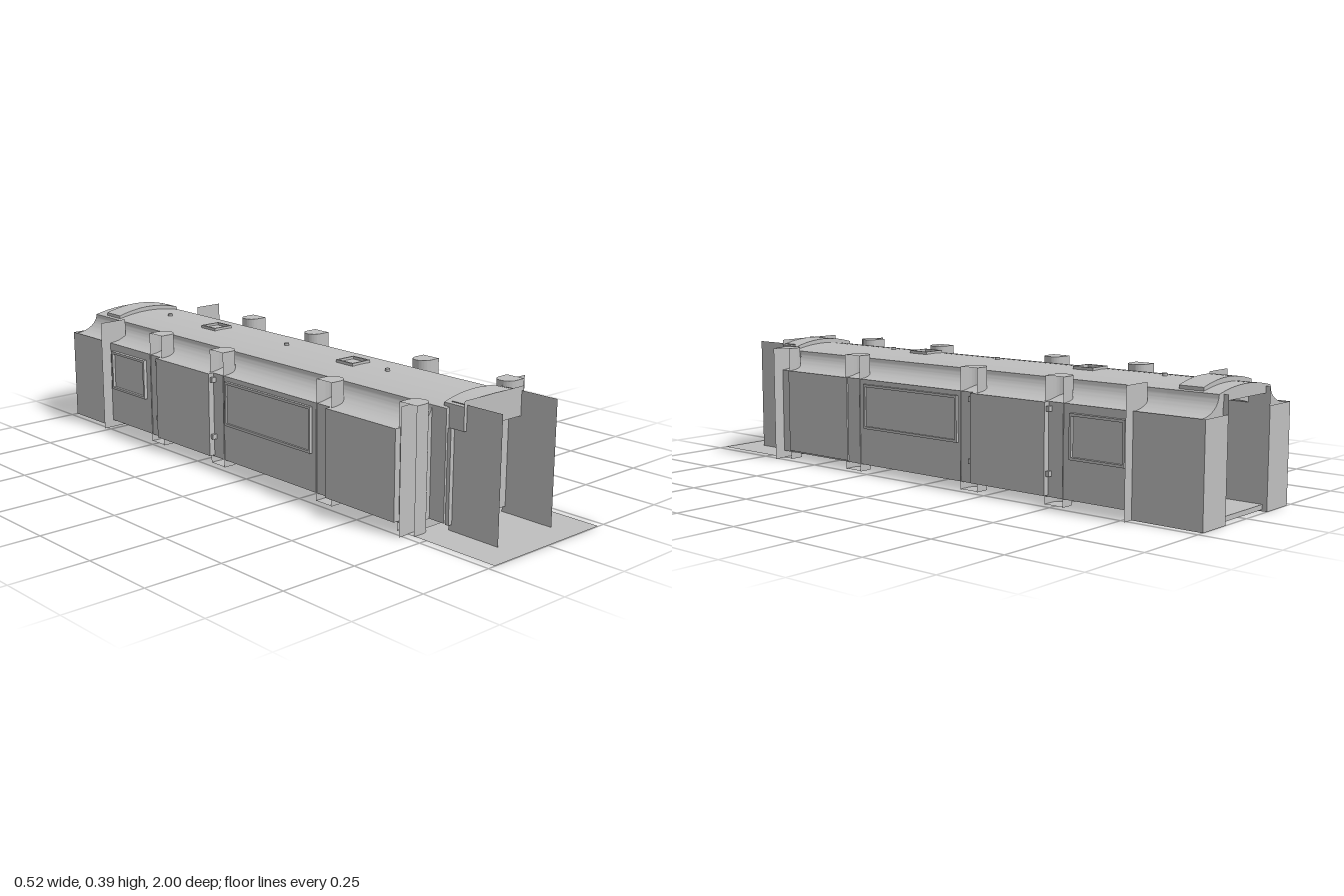
import * as THREE from 'three';
import { toCreasedNormals } from 'three/addons/utils/BufferGeometryUtils.js';

export function createModel() {
  const root = new THREE.Group();
  root.name = 'carModule';
  const grey = new THREE.MeshStandardMaterial({ color: 0xbfbfbf, side: THREE.DoubleSide });
  grey.name = 'plainGrey';

  function add(name, geo, x = 0, y = 0, z = 0) {
    const m = new THREE.Mesh(geo, grey);
    m.name = name;
    m.position.set(x, y, z);
    root.add(m);
    return m;
  }
  // box given by its limits on each axis
  function box(name, x0, x1, y0, y1, z0, z1) {
    return add(name, new THREE.BoxGeometry(Math.abs(x1 - x0), y1 - y0, z1 - z0),
      (x0 + x1) / 2, (y0 + y1) / 2, (z0 + z1) / 2);
  }
  // flat sheets: sheetX lies across x, sheetZ faces along z
  function sheetX(name, x, y0, y1, z0, z1) {
    const m = add(name, new THREE.PlaneGeometry(z1 - z0, y1 - y0), x, (y0 + y1) / 2, (z0 + z1) / 2);
    m.rotation.y = Math.sign(x) * Math.PI / 2;
  }
  function sheetZ(name, x0, x1, y0, y1, z) {
    const m = add(name, new THREE.PlaneGeometry(Math.abs(x1 - x0), y1 - y0), (x0 + x1) / 2, (y0 + y1) / 2, z);
    if (z < 0) m.rotation.y = Math.PI;
  }
  function extrude(name, shape, z0, z1) {
    const g = new THREE.ExtrudeGeometry(shape, { depth: z1 - z0, bevelEnabled: false, curveSegments: 14 });
    return add(name, toCreasedNormals(g, 0.5), 0, 0, z0);
  }

  // body cross-section: upright walls, concave coves, shallow roof arch
  function bodyShape(base) {
    const s = new THREE.Shape();
    s.moveTo(-0.225, base);
    s.lineTo(0.225, base);
    s.lineTo(0.225, 0.305);
    s.absellipse(0.225, 0.362, 0.088, 0.057, -Math.PI / 2, -Math.PI, true);
    s.quadraticCurveTo(0, 0.395, -0.137, 0.362);
    s.absellipse(-0.225, 0.362, 0.088, 0.057, 0, -Math.PI / 2, true);
    s.lineTo(-0.225, base);
    return s;
  }
  extrude('body', bodyShape(0.025), -0.82, 0.68);

  // rear vestibule: the same section with a doorway through it
  const rear = bodyShape(0.005);
  const hole = new THREE.Path();
  hole.moveTo(-0.115, 0.02);
  hole.lineTo(-0.115, 0.34);
  hole.lineTo(0.115, 0.34);
  hole.lineTo(0.115, 0.02);
  hole.closePath();
  rear.holes.push(hole);
  extrude('rearVestibule', rear, -0.985, -0.82);

  // front roof nose over the door
  const nose = new THREE.Shape();
  nose.moveTo(-0.137, 0.025);
  nose.lineTo(0.137, 0.025);
  nose.lineTo(0.137, 0.362);
  nose.quadraticCurveTo(0, 0.395, -0.137, 0.362);
  extrude('frontNose', nose, 0.68, 0.735);

  // end doors and the hoods above them
  box('frontDoor', -0.13, 0.125, 0.02, 0.305, 0.735, 0.747);
  box('rearDoor', -0.113, 0.113, 0.02, 0.34, -0.82, -0.81);
  function hood(name, z0, z1) {
    const s = new THREE.Shape();
    s.moveTo(-0.126, 0.305);
    s.quadraticCurveTo(0, 0.345, 0.126, 0.305);
    s.lineTo(0.126, 0.375);
    s.quadraticCurveTo(0, 0.411, -0.126, 0.375);
    s.closePath();
    extrude(name, s, z0, z1);
  }
  hood('frontHood', 0.715, 0.79);
  hood('rearHood', -0.93, -0.85);
  sheetZ('frontHoodFace', -0.127, 0.125, 0.305, 0.393, 0.791);

  // entry floor
  const floor = add('entryFloor', new THREE.PlaneGeometry(0.45, 0.32), 0, 0.001, 0.84);
  floor.rotation.x = -Math.PI / 2;

  // pillar: round towards the middle, open outwards
  const pillarShape = new THREE.Shape();
  pillarShape.moveTo(0.228, -0.033);
  pillarShape.lineTo(0.193, -0.033);
  pillarShape.absarc(0.193, 0, 0.033, -Math.PI / 2, -Math.PI * 1.5, true);
  pillarShape.lineTo(0.228, 0.033);
  const outline = pillarShape.getPoints(12);
  function pillar(side, z) {
    const pos = [], idx = [];
    outline.forEach((p, i) => {
      pos.push(p.x * side, 0, p.y, p.x * side, 0.38, p.y);
      if (i) idx.push(2 * i - 2, 2 * i - 1, 2 * i, 2 * i, 2 * i - 1, 2 * i + 1);
    });
    if (side < 0) idx.reverse();
    const wall = new THREE.BufferGeometry();
    wall.setAttribute('position', new THREE.Float32BufferAttribute(pos, 3));
    wall.setIndex(idx);
    add('pillarWall', toCreasedNormals(wall, 0.6), 0, 0, z);
    for (const y of [0.002, 0.38]) {
      const cap = add('pillarCap', new THREE.ShapeGeometry(pillarShape, 12), 0, y, z);
      cap.rotation.x = y > 0.1 ? -Math.PI / 2 : Math.PI / 2;
      cap.scale.x = side;
    }
  }

  // raised window frame with a thin pane
  function windowPanel(side, z0, z1, y0, y1, out) {
    const t = 0.008, a = 0.222 * side, b = out * side;
    box('windowPane', a, side * 0.228, y0, y1, z0, z1);
    box('windowSill', a, b, y0, y0 + t, z0, z1);
    box('windowHead', a, b, y1 - t, y1, z0, z1);
    box('windowJamb', a, b, y0, y1, z0, z0 + t);
    box('windowJamb', a, b, y0, y1, z1 - t, z1);
  }

  for (const side of [1, -1]) {
    for (const z of [0.675, 0.335, -0.17, -0.497]) pillar(side, z);

    // side panels and windows
    box('frontPanel', 0.22 * side, (side > 0 ? 0.23 : 0.245) * side, 0.03, 0.305, 0.36, 0.645);
    box('middlePanel', 0.22 * side, 0.245 * side, 0.03, 0.305, -0.475, -0.19);
    windowPanel(side, -0.125, 0.28, 0.145, 0.29, 0.234);
    windowPanel(side, -0.75, -0.557, 0.145, 0.28, 0.237);
    for (const y of [0.095, 0.285])
      for (const z of [-0.183, -0.482]) box('hinge', 0.22 * side, 0.24 * side, y - 0.008, y + 0.008, z - 0.005, z + 0.005);

    // vestibule wings, bulkhead flanges and rear corner walls
    sheetX('frontWing', 0.116 * side, 0, 0.38, 0.735, 0.918);
    sheetX('rearWing', 0.112 * side, 0, 0.36, -1, -0.82);
    sheetZ('frontFlange', 0.16 * side, 0.262 * side, 0, 0.38, 0.682);
    sheetZ('rearFlange', 0.16 * side, 0.262 * side, 0, 0.38, -0.77);
    sheetX('rearCornerWall', 0.227 * side, 0, 0.306, -1, -0.77);
    sheetZ('rearEndWall', 0.112 * side, 0.227 * side, 0, 0.306, -1);
  }

  // roof hatches, as thin square frames
  for (const z of [0.22, -0.455]) {
    for (const s of [1, -1]) {
      box('hatchRail', s * 0.031, s * 0.037, 0.37, 0.386, z - 0.037, z + 0.037);
      box('hatchRail', -0.037, 0.037, 0.37, 0.386, z + s * 0.034 - 0.003, z + s * 0.034 + 0.003);
    }
  }

  // small studs on the roof and under the floor
  for (const z of [0.37, -0.09, -0.72]) add('roofStud', new THREE.CylinderGeometry(0.008, 0.008, 0.012, 12), 0, 0.38, z);
  for (const z of [0.125, -0.08, 0.4]) add('floorStud', new THREE.CylinderGeometry(0.007, 0.007, 0.014, 12), 0, 0.02, z);

  return root;
}
